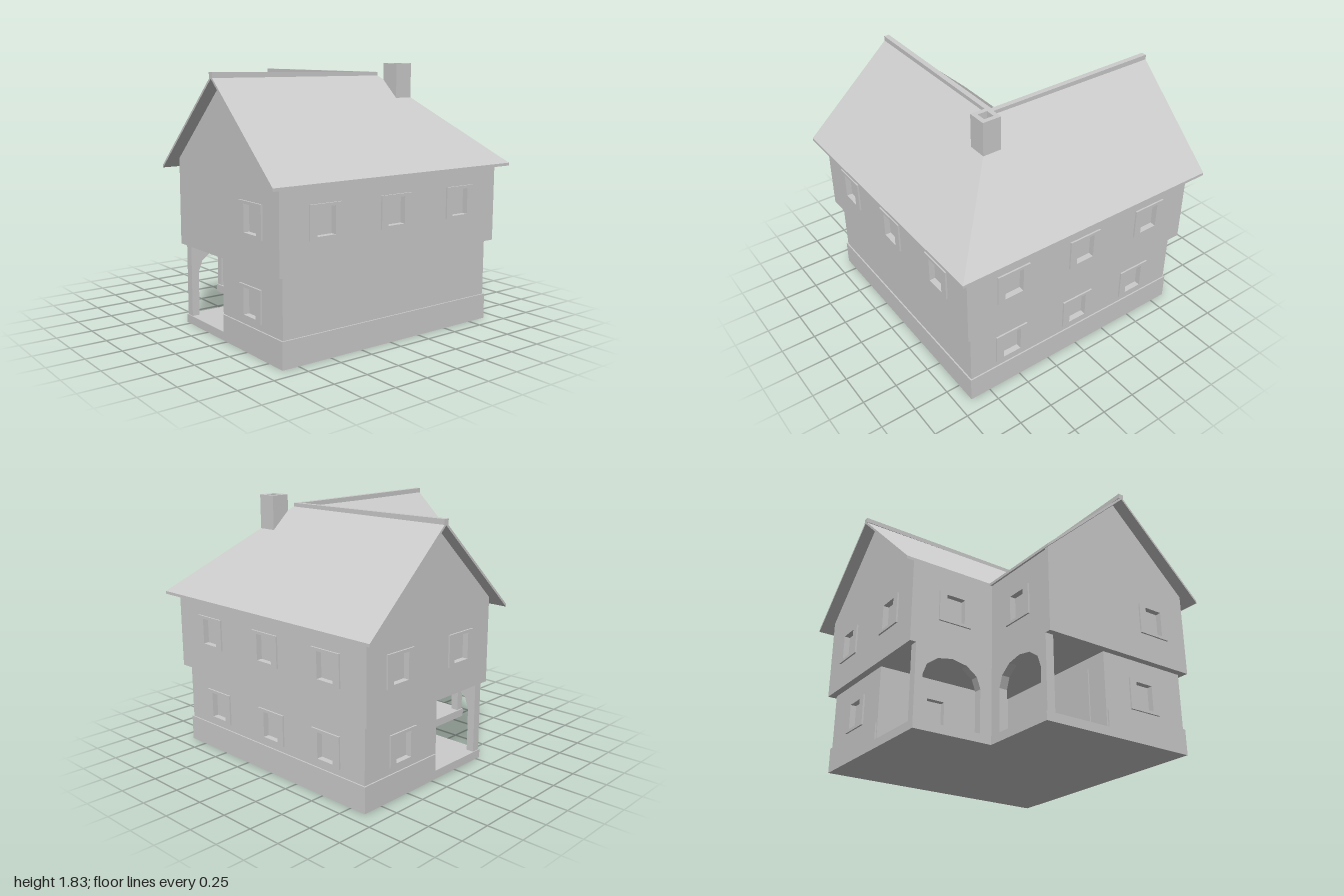
import * as THREE from 'three';

const plaster = new THREE.MeshStandardMaterial({ color: 0xcccccc });
plaster.name = 'plainGrey';

const EAVE = 1.135, RIDGE = 1.755, MID = 0.325, SLOPE = (RIDGE - EAVE) / (1 - MID);

function add(parent, name, geometry) {
  const mesh = new THREE.Mesh(geometry, plaster);
  mesh.name = name;
  parent.add(mesh);
  return mesh;
}

const extrude = (shape, depth) =>
  new THREE.ExtrudeGeometry(shape, { depth, bevelEnabled: false });

const polygon = pts => new THREE.Shape(pts.map(p => new THREE.Vector2(...p)));

const rect = (x0, x1, y0, y1) => [[x0, y0], [x1, y0], [x1, y1], [x0, y1]];

// L-shaped storey: outer corner at +x +z, notch at -x -z
function storey(parent, name, lo, hi, inner, y0, y1) {
  const shape = polygon([[lo, hi], [hi, hi], [hi, lo], [inner, lo], [inner, inner], [lo, inner]]);
  add(parent, name, extrude(shape, y1 - y0).rotateX(Math.PI / 2).translate(0, y1, 0));
}

// Facings: turn about y, the axis the wall lies across, and the sign of local x
const FACING = {
  front: { turn: 0, axis: 'z', sign: 1 },
  back: { turn: Math.PI, axis: 'z', sign: -1 },
  left: { turn: Math.PI / 2, axis: 'x', sign: -1 },
  right: { turn: -Math.PI / 2, axis: 'x', sign: 1 },
};

// Wall skin facing one way, with recessed windows and raised frames
function wall(parent, name, facing, at, outline, windows = []) {
  const { turn, axis, sign } = FACING[facing];
  const group = new THREE.Group();
  group.name = name;
  group.rotation.y = turn;
  group.position[axis] = at;
  parent.add(group);
  const shape = polygon(outline.map(([a, y]) => [a * sign, y]));
  for (const [a, y] of windows) {
    const c = a * sign;
    const hole = polygon(rect(c - 0.07, c + 0.07, y - 0.09, y + 0.09));
    shape.holes.push(hole);
    const frame = polygon(rect(c - 0.125, c + 0.125, y - 0.11, y + 0.11));
    frame.holes.push(hole);
    add(group, 'windowFrame', extrude(frame, 0.012));
  }
  add(group, 'wallSkin', extrude(shape, 0.03).translate(0, 0, -0.03));
  return group;
}

// Sloping slab: a polygon (counter-clockwise from above) thickened downward
function slab(parent, name, pts, thick) {
  const n = pts.length, pos = [];
  const low = pts.map(([x, y, z]) => [x, y - thick, z]);
  const tri = (...t) => t.forEach(p => pos.push(...p));
  for (let i = 1; i < n - 1; i++) {
    tri(pts[0], pts[i], pts[i + 1]);
    tri(low[0], low[i + 1], low[i]);
  }
  for (let i = 0; i < n; i++) {
    const j = (i + 1) % n;
    tri(low[i], low[j], pts[j]);
    tri(low[i], pts[j], pts[i]);
  }
  const geometry = new THREE.BufferGeometry();
  geometry.setAttribute('position', new THREE.Float32BufferAttribute(pos, 3));
  geometry.computeVertexNormals();
  add(parent, name, geometry);
}

// The same slab on both wings, swapping x and z
function wingSlabs(parent, name, pts, thick) {
  slab(parent, name, pts, thick);
  slab(parent, name, pts.map(([x, y, z]) => [z, y, x]).reverse(), thick);
}

// Porch wall with a faceted arch
function archWall(parent, facing) {
  const { sign } = FACING[facing];
  const c = -0.59, r = 0.22, spring = 0.37, rise = 0.16;
  const pts = [[-0.865, 0.05], [c - r, 0.05]];
  for (let i = 0; i <= 6; i++) {
    const t = Math.PI * (1 - i / 6);
    pts.push([c + r * Math.cos(t), spring + rise * Math.sin(t)]);
  }
  pts.push([c + r, 0.05], [-0.28, 0.05], [-0.28, 0.59], [-0.865, 0.59]);
  const { turn, axis } = FACING[facing];
  const mesh = add(parent, 'porchArch',
    extrude(polygon(pts.map(([a, y]) => [a * sign, y])), 0.06).translate(0, 0, -0.06));
  mesh.rotation.y = turn;
  mesh.position[axis] = -0.28;
}

export function createModel() {
  const house = new THREE.Group();
  house.name = 'house';

  // Base, ground floor and overhanging upper floor
  storey(house, 'floorSlab', -0.87, 0.9, -0.29, 0, 0.06);
  storey(house, 'plinth', -0.87, 0.9, 0.21, 0, 0.18);
  storey(house, 'groundFloorCore', -0.83, 0.86, 0.23, 0.05, 0.59);
  storey(house, 'upperFloorCore', -0.88, 0.9, -0.25, 0.585, 1.16);

  // Outer walls
  const low = 0.335, high = 0.89;
  const lowerLong = rect(-0.86, 0.89, 0.15, 0.585);
  const upperLong = rect(-0.91, 0.93, 0.585, 1.17);
  const upperRow = [[-0.57, high], [0, high], [0.58, high]];
  wall(house, 'frontGroundWall', 'front', 0.89, lowerLong);
  wall(house, 'sideGroundWall', 'left', 0.89, lowerLong, [[-0.525, low], [0, low], [0.565, low]]);
  wall(house, 'frontUpperWall', 'front', 0.93, upperLong, upperRow);
  wall(house, 'sideUpperWall', 'left', 0.93, upperLong, upperRow);

  // Gable ends, inner walls and arches, one set for each wing
  const roofUnder = a => EAVE - 0.02 + (1 - MID - Math.abs(a - MID)) * SLOPE;
  const gable = [[-0.28, 0.585], [0.93, 0.585], [0.93, roofUnder(0.93)],
    [MID, roofUnder(MID)], [-0.28, roofUnder(-0.28)]];
  for (const facing of ['back', 'right']) {
    wall(house, 'gableWall', facing, -0.91, gable, [[0.63, high], [0.03, high]].slice(0, facing === 'back' ? 2 : 1));
    wall(house, 'gableGroundWall', facing, -0.86, rect(0.2, 0.89, 0.05, 0.585), [[0.54, low]]);
    wall(house, 'innerUpperWall', facing, -0.28, rect(-0.91, -0.28, 0.585, 1.17), [[-0.58, high]]);
    wall(house, 'porchBackWall', facing, 0.2, rect(-0.86, 0.23, 0.05, 0.585),
      facing === 'right' ? [[-0.43, low]] : []);
    archWall(house, facing);
  }

  // Underside of the upper floor
  storey(house, 'upperFloorUnderside', -0.91, 0.93, -0.28, 0.58, 0.6);

  // Porch door
  const door = add(house, 'porchDoor', new THREE.BoxGeometry(0.24, 0.44, 0.009));
  door.position.set(-0.59, 0.28, 0.196);

  // Roof: outer and inner slopes meeting at hip and valley
  wingSlabs(house, 'outerRoofSlope',
    [[-1, EAVE, 1], [1, EAVE, 1], [MID, RIDGE, MID], [-1, RIDGE, MID]], 0.02);
  wingSlabs(house, 'innerRoofSlope',
    [[-1, EAVE, -0.35], [-1, RIDGE, MID], [MID, RIDGE, MID], [-0.35, EAVE, -0.35]], 0.02);
  wingSlabs(house, 'ridgeCap',
    [[-1, 1.775, 0.342], [0.342, 1.765, 0.342], [0.303, 1.765, 0.303], [-1, 1.775, 0.303]], 0.035);

  // Chimney with an open flue
  const stack = polygon(rect(0.372, 0.508, 0.372, 0.508));
  stack.holes.push(polygon(rect(0.405, 0.475, 0.405, 0.475)));
  add(house, 'chimney', extrude(stack, 0.38).rotateX(Math.PI / 2).translate(0, 1.825, 0));

  return house;
}
